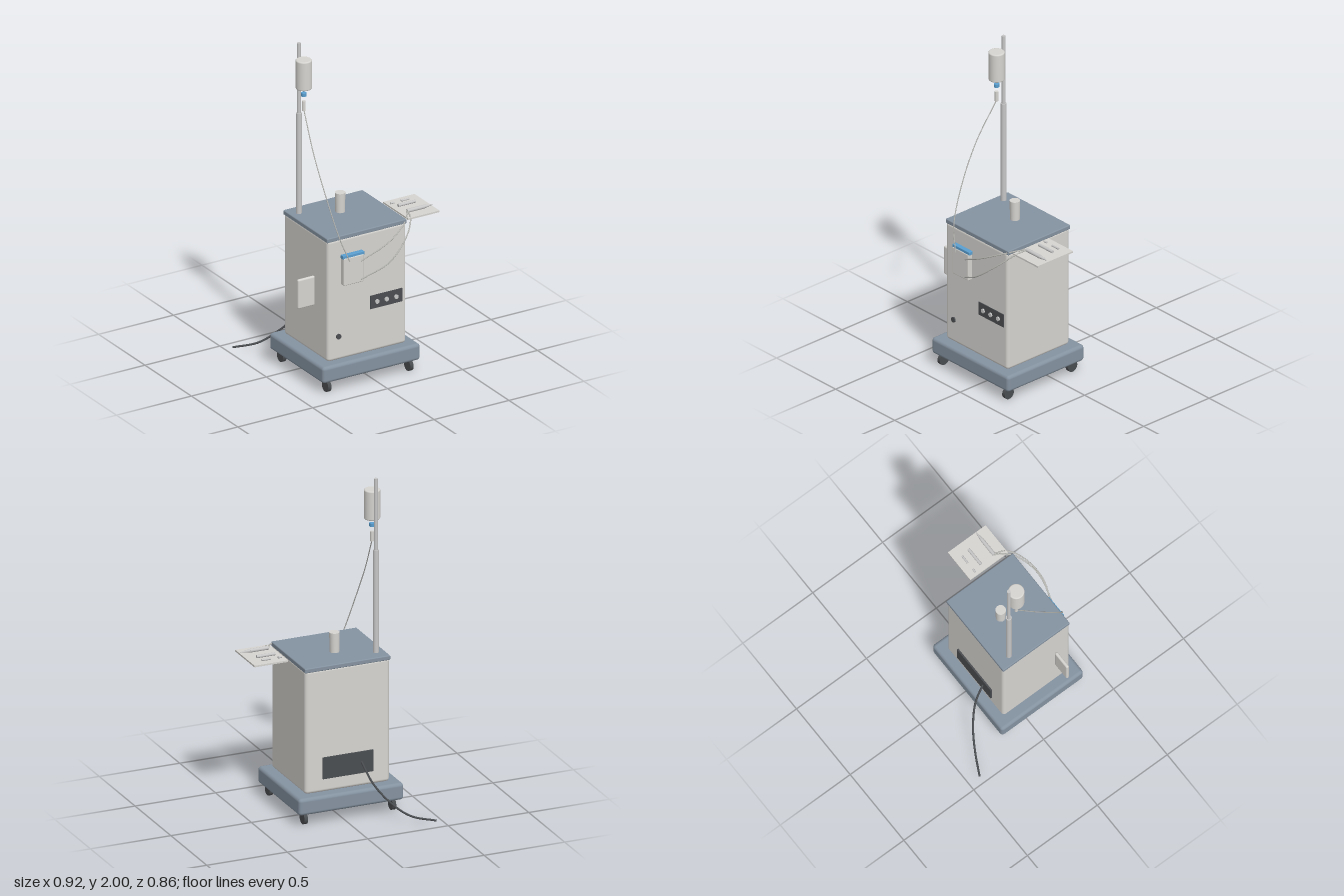
import * as THREE from 'three';
import { RoundedBoxGeometry } from 'three/addons/geometries/RoundedBoxGeometry.js';

const mat = (name, color) => {
  const m = new THREE.MeshStandardMaterial({ color });
  m.name = name;
  return m;
};

export function createModel() {
  const group = new THREE.Group();
  const slate = mat('slate blue', 0x8492a0);
  const shell = mat('warm white', 0xd6d4d0);
  const metal = mat('metal', 0xc6c6c6);
  const dark = mat('dark grey', 0x4a4d50);
  const blue = mat('blue', 0x5a9fd0);
  const tubing = mat('tubing', 0xb4b4b0);

  const add = (name, geometry, material, x = 0, y = 0, z = 0) => {
    const mesh = new THREE.Mesh(geometry, material);
    mesh.name = name;
    mesh.position.set(x, y, z);
    group.add(mesh);
    return mesh;
  };
  // Box given by its limits, optionally rounded
  const box = (name, material, [x0, x1], [y0, y1], [z0, z1], r = 0) => {
    const s = [x1 - x0, y1 - y0, z1 - z0];
    const g = r ? new RoundedBoxGeometry(...s, 4, r) : new THREE.BoxGeometry(...s);
    return add(name, g, material, (x0 + x1) / 2, (y0 + y1) / 2, (z0 + z1) / 2);
  };
  const cylinder = (name, material, rTop, rBottom, length, x, y, z, axis = 'y') => {
    const g = new THREE.CylinderGeometry(rTop, rBottom, length, 28);
    if (axis === 'x') g.rotateZ(-Math.PI / 2);
    if (axis === 'z') g.rotateX(Math.PI / 2);
    return add(name, g, material, x, y, z);
  };
  const tube = (name, material, radius, points) => {
    const curve = new THREE.CatmullRomCurve3(points.map((p) => new THREE.Vector3(...p)));
    return add(name, new THREE.TubeGeometry(curve, 64, radius, 10), material);
  };
  // Upright round body with softened rims
  const softCylinder = (name, material, r, h, e, x, y, z) => {
    const pts = [new THREE.Vector2(0, 0)];
    for (let i = 0; i <= 5; i++) {
      const a = (i / 5) * Math.PI / 2;
      pts.push(new THREE.Vector2(r - e + e * Math.sin(a), e - e * Math.cos(a)));
    }
    for (let i = 0; i <= 5; i++) {
      const a = (i / 5) * Math.PI / 2;
      pts.push(new THREE.Vector2(r - e + e * Math.cos(a), h - e + e * Math.sin(a)));
    }
    pts.push(new THREE.Vector2(0, h));
    return add(name, new THREE.LatheGeometry(pts, 32), material, x, y, z);
  };

  // Wheeled base
  box('base', slate, [-0.363, 0.288], [0.07, 0.172], [-0.193, 0.393], 0.02);
  for (const x of [-0.312, 0.236]) {
    for (const z of [-0.138, 0.347]) {
      cylinder('casterWheel', dark, 0.035, 0.035, 0.022, x, 0.036, z, 'x');
    }
  }

  // Cabinet and worktop
  box('cabinet', shell, [-0.3, 0.225], [0.172, 0.925], [-0.135, 0.34], 0.02);
  box('worktop', slate, [-0.303, 0.228], [0.913, 0.941], [-0.138, 0.338], 0.006);

  // Front controls
  box('controlPanel', dark, [-0.018, 0.195], [0.44, 0.522], [0.336, 0.345]);
  for (const x of [0.025, 0.088, 0.152]) {
    cylinder('controlKnob', metal, 0.013, 0.013, 0.012, x, 0.48, 0.347, 'z');
  }
  cylinder('frontSocket', dark, 0.016, 0.016, 0.012, -0.23, 0.32, 0.342, 'z');

  // Rear panel and power cable
  box('rearPanel', dark, [-0.195, 0.12], [0.255, 0.385], [-0.145, -0.13]);
  tube('powerCable', dark, 0.006, [
    [-0.12, 0.325, -0.143], [-0.155, 0.215, -0.225], [-0.233, 0.11, -0.3],
    [-0.33, 0.037, -0.36], [-0.46, 0.012, -0.427],
  ]);

  // Telescopic pole
  cylinder('lowerPole', metal, 0.017, 0.017, 0.625, -0.248, 1.2525, -0.056);
  cylinder('upperPole', metal, 0.011, 0.011, 0.44, -0.248, 1.78, -0.056);

  // Hanging bottle, cap and drip chamber
  softCylinder('bottle', shell, 0.047, 0.18, 0.008, -0.248, 1.737, -0.003);
  cylinder('bottleCap', blue, 0.016, 0.016, 0.02, -0.248, 1.7, -0.003);
  cylinder('dripChamber', shell, 0.011, 0.011, 0.06, -0.248, 1.63, -0.003);
  tube('dripLine', tubing, 0.003, [
    [-0.248, 1.6, 0], [-0.266, 1.38, 0.135], [-0.256, 1.15, 0.255],
    [-0.225, 0.93, 0.345], [-0.175, 0.785, 0.376],
  ]);

  // Fluid cassette on the front
  box('cassette', shell, [-0.212, -0.076], [0.638, 0.808], [0.335, 0.37], 0.006);
  box('cassetteLid', blue, [-0.214, -0.072], [0.802, 0.824], [0.338, 0.367], 0.003);

  // Cup on the worktop
  cylinder('cup', shell, 0.03, 0.028, 0.12, -0.037, 1.0, 0.048);

  // Side plate
  box('sidePlate', shell, [-0.433, -0.319], [0.495, 0.677], [0.216, 0.236], 0.0095);

  // Instrument tray
  box('tray', shell, [0.249, 0.458], [0.922, 0.932], [0.05, 0.32]);
  cylinder('smallTip', metal, 0.006, 0.006, 0.022, 0.279, 0.938, 0.1, 'x');
  cylinder('spareTip', metal, 0.006, 0.006, 0.053, 0.364, 0.938, 0.1, 'x');
  cylinder('spareHandle', metal, 0.009, 0.009, 0.115, 0.342, 0.941, 0.153, 'x');

  // Handpiece: body, collar and needle
  cylinder('handpieceBody', metal, 0.011, 0.011, 0.115, 0.343, 0.943, 0.248, 'x');
  cylinder('handpieceCollar', metal, 0.007, 0.01, 0.028, 0.414, 0.943, 0.248, 'x');
  cylinder('handpieceNeedle', metal, 0.002, 0.006, 0.028, 0.442, 0.943, 0.248, 'x');

  // Handpiece hoses
  tube('upperHose', tubing, 0.004, [
    [-0.1, 0.77, 0.372], [0.06, 0.85, 0.397], [0.186, 0.912, 0.358],
    [0.255, 0.94, 0.297], [0.285, 0.945, 0.243],
  ]);
  tube('lowerHose', tubing, 0.004, [
    [-0.1, 0.655, 0.372], [0.06, 0.745, 0.424], [0.2, 0.86, 0.384],
    [0.268, 0.928, 0.315], [0.287, 0.945, 0.253],
  ]);

  return group;
}
